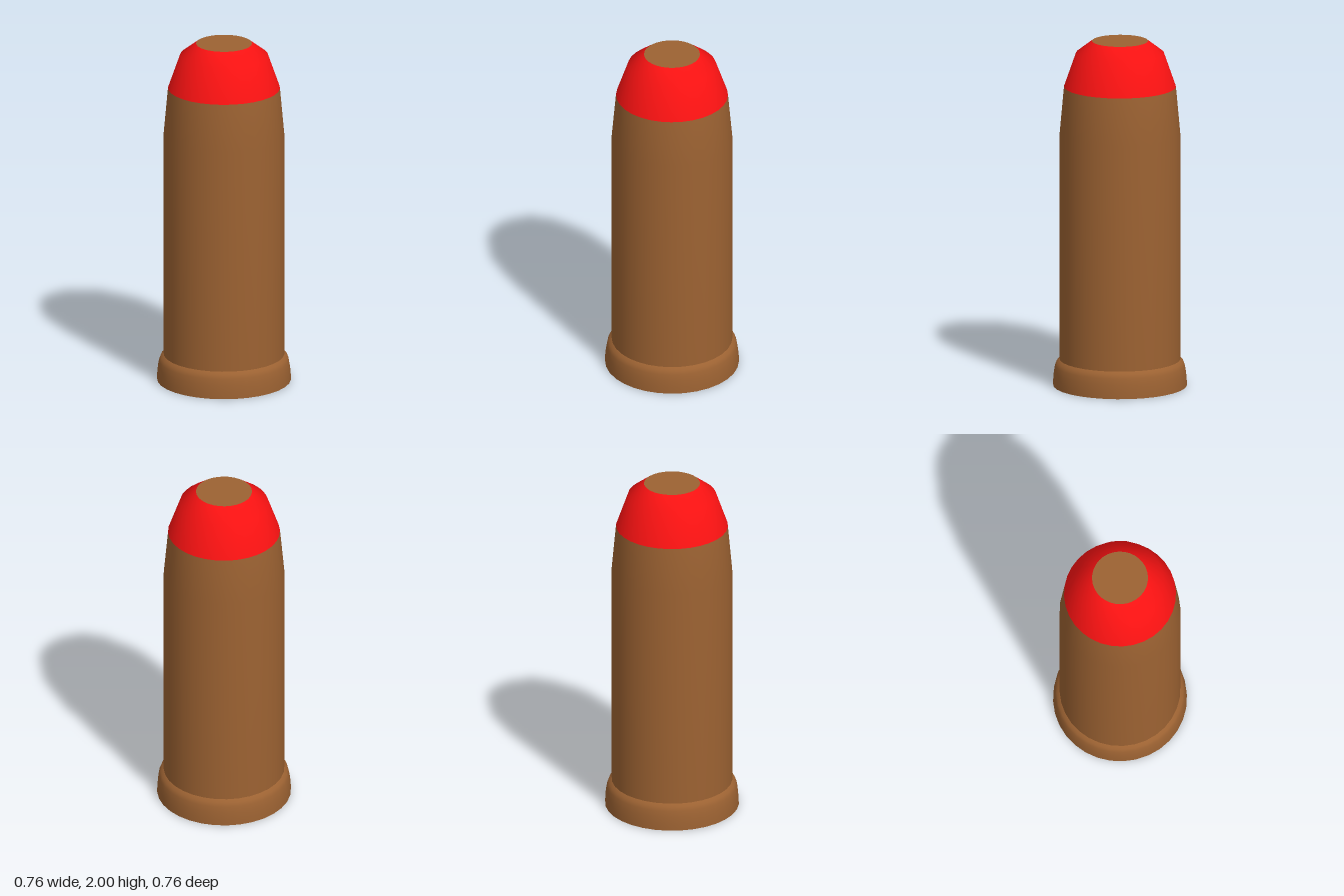
import * as THREE from 'three';

const SIDES = 32;
const brown = new THREE.MeshStandardMaterial({ color: 0x9c6232 });
const red = new THREE.MeshStandardMaterial({ color: 0xfa1212 });

export function createModel() {
  const model = new THREE.Group();
  model.name = 'cartridge';

  const add = (name, geometry, material) => {
    const mesh = new THREE.Mesh(geometry, material);
    mesh.name = name;
    model.add(mesh);
    return mesh;
  };
  // Turned part from [radius, height] pairs, bottom to top
  const turn = (name, profile, material) =>
    add(name, new THREE.LatheGeometry(profile.map(([r, y]) => new THREE.Vector2(r, y)), SIDES), material);
  // Flat disc facing up or down
  const disc = (name, radius, y, up) => {
    const geometry = new THREE.CircleGeometry(radius, SIDES);
    geometry.rotateX(up ? -Math.PI / 2 : Math.PI / 2);
    add(name, geometry, brown).position.y = y;
  };

  // Flared rim with a rounded shoulder, closed underneath
  turn('rim', [[0.38, 0], [0.379, 0.04], [0.375, 0.08], [0.369, 0.115], [0.36, 0.138], [0.343, 0.152]], brown);
  disc('base', 0.38, 0, false);

  // Straight case, drawn in slightly near the top
  turn('case', [[0.343, 0.152], [0.343, 1.46], [0.318, 1.735]], brown);

  // Tapered coloured tip with a flat end
  turn('tip', [[0.318, 1.735], [0.25, 1.93], [0.159, 2]], red);
  disc('tipCap', 0.159, 2, true);

  return model;
}
